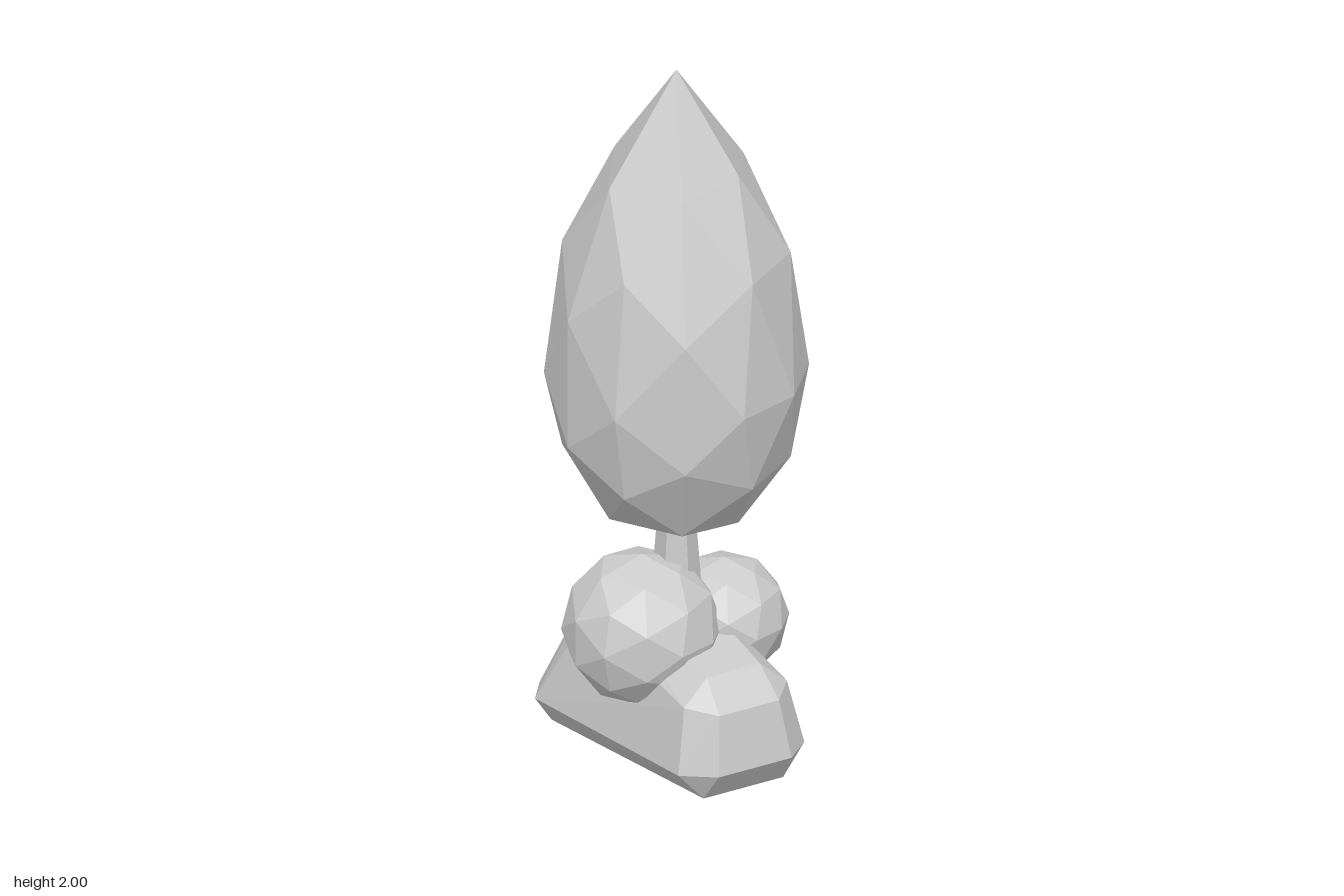
import * as THREE from 'three';
import { ConvexGeometry } from 'three/addons/geometries/ConvexGeometry.js';

const material = new THREE.MeshStandardMaterial({ color: 0xcccccc, flatShading: true });

// Faceted ball, turned so that one of its corners lies on the z axis
function facetedBall() {
  return new THREE.IcosahedronGeometry(1, 1).rotateY(-1.0176);
}

function addMesh(group, name, geometry) {
  const mesh = new THREE.Mesh(geometry, material);
  mesh.name = name;
  group.add(mesh);
  return mesh;
}

// Egg-shaped crown: taller above its widest level, with the tip drawn out to a point
function crownGeometry() {
  const geo = facetedBall();
  const p = geo.attributes.position;
  for (let i = 0; i < p.count; i++) {
    const y = p.getY(i);
    const height = y > 0.95 ? 0.87 : y * (y > 0 ? 0.71 : 0.48);
    p.setXYZ(i, p.getX(i) * 0.345, 1.13 + height, p.getZ(i) * 0.345);
  }
  geo.computeVertexNormals();
  return geo;
}

// Bush: faceted ball left open underneath
function bushGeometry(radius) {
  const source = facetedBall().attributes.position;
  const kept = [];
  for (let i = 0; i < source.count; i += 3) {
    const lowest = Math.min(source.getY(i), source.getY(i + 1), source.getY(i + 2));
    if (lowest < -0.95) continue;
    for (let j = i; j < i + 3; j++) {
      kept.push(source.getX(j) * radius, source.getY(j) * radius, source.getZ(j) * radius);
    }
  }
  const geo = new THREE.BufferGeometry();
  geo.setAttribute('position', new THREE.Float32BufferAttribute(kept, 3));
  geo.computeVertexNormals();
  return geo;
}

// Tilted boulder with bevelled edges, from half of its corners mirrored in x
function rockGeometry() {
  const half = [
    [0.175, 0, -0.34], [0.12, 0.055, 0.34], // underside
    [0.175, 0.085, -0.4], [0.24, 0.09, -0.315], // widest level, back
    [0.19, 0.135, 0.33], [0.11, 0.14, 0.4], // widest level, front
    [0.11, 0.41, -0.25], [0.16, 0.375, -0.18], // shoulder, back
    [0.155, 0.31, 0.3], [0.09, 0.3, 0.37], // shoulder, front
    [0.1, 0.44, -0.17], [0.08, 0.375, 0.29], // top
  ];
  const points = half.flatMap(([x, y, z]) => [1, -1].map((s) => new THREE.Vector3(s * x, y, z)));
  return new ConvexGeometry(points);
}

export function createModel() {
  const model = new THREE.Group();
  model.name = 'treeOnRock';

  addMesh(model, 'crown', crownGeometry());
  addMesh(model, 'trunk', new THREE.CylinderGeometry(0.05, 0.08, 0.4, 6)).position.y = 0.5;
  addMesh(model, 'rightBush', bushGeometry(0.21)).position.set(-0.105, 0.405, 0);
  addMesh(model, 'leftBush', bushGeometry(0.17)).position.set(0.143, 0.372, 0);
  addMesh(model, 'rock', rockGeometry());

  return model;
}
